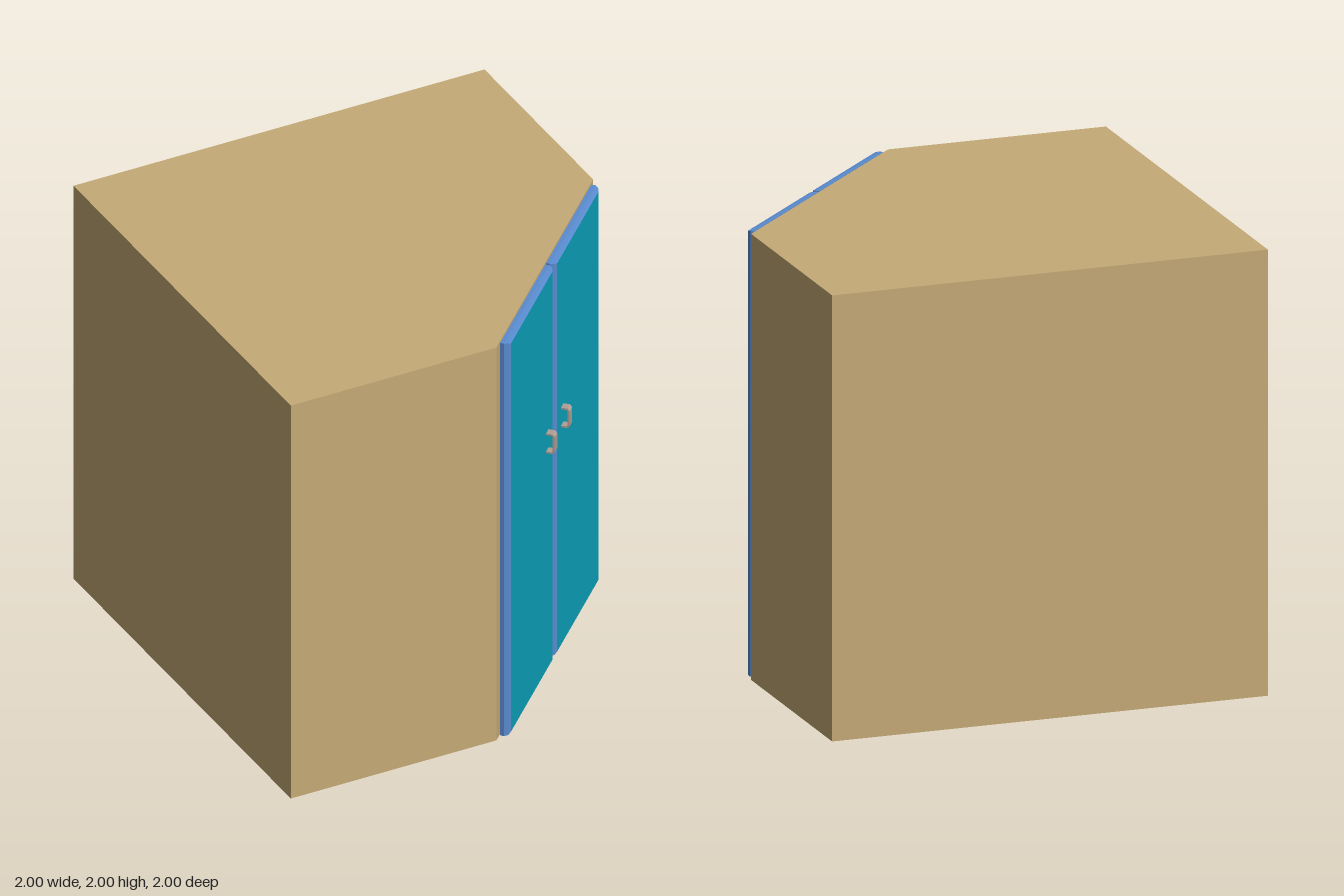
import * as THREE from 'three';

const mat = (name, color) => {
  const m = new THREE.MeshStandardMaterial({ color });
  m.name = name;
  return m;
};

// Rectangular loops [halfWidth, halfHeight, z] joined back to front; only the sides, plus a back cap
function loopedPanel(loops) {
  const pos = [], index = [];
  const quad = (...corners) => {
    const i = pos.length / 3;
    corners.forEach(c => pos.push(...c));
    index.push(i, i + 1, i + 2, i, i + 2, i + 3);
  };
  const ring = ([w, h, z]) => [[-w, -h, z], [w, -h, z], [w, h, z], [-w, h, z]];
  for (let l = 0; l < loops.length - 1; l++) {
    const a = ring(loops[l]), b = ring(loops[l + 1]);
    for (let k = 0; k < 4; k++) {
      const n = (k + 1) % 4;
      quad(a[k], a[n], b[n], b[k]);
    }
  }
  quad(...ring(loops[0]).reverse());
  const g = new THREE.BufferGeometry();
  g.setAttribute('position', new THREE.Float32BufferAttribute(pos, 3));
  g.setIndex(index);
  g.computeVertexNormals();
  return g;
}

export function createModel() {
  const wood = mat('tan wood', 0xc6aa76);
  const blue = mat('blue edge', 0x5a8cd0);
  const teal = mat('teal panel', 0x0ca0ba);
  const metal = mat('handle metal', 0xb0a096);
  const model = new THREE.Group();
  model.name = 'cornerCabinet';
  const add = (parent, geometry, material, name) => {
    const mesh = new THREE.Mesh(geometry, material);
    mesh.name = name;
    parent.add(mesh);
    return mesh;
  };

  // Cabinet body: a square plan with one corner cut off
  const plan = new THREE.Shape(
    [[-1, -1], [0, -1], [1, 0], [1, 1], [-1, 1]].map(([x, y]) => new THREE.Vector2(x, y)));
  const bodyGeo = new THREE.ExtrudeGeometry(plan, { depth: 2, bevelEnabled: false });
  bodyGeo.rotateX(-Math.PI / 2);
  add(model, bodyGeo, wood, 'body');

  // Doors on the diagonal face
  const front = new THREE.Group();
  front.name = 'doors';
  front.position.set(0.5, 1, 0.5);
  front.rotation.y = Math.PI / 4;
  model.add(front);

  const W = 0.328, H = 0.999;
  const edgeGeo = loopedPanel([
    [W, H, 0.004], [W + 0.003, H, 0.022], [W - 0.008, H - 0.003, 0.038], [W - 0.025, H - 0.011, 0.045]]);
  const panelGeo = new THREE.PlaneGeometry(2 * (W - 0.025), 2 * (H - 0.011));

  // Handle side profile: x is distance from the door, y is up
  const profile = new THREE.Shape(
    [[0, -0.05], [0.03, -0.05], [0.04, -0.038], [0.04, 0.038], [0.03, 0.05], [0, 0.05],
      [0, 0.042], [0.026, 0.042], [0.031, 0.034], [0.031, -0.034], [0.026, -0.042], [0, -0.042]]
      .map(([x, y]) => new THREE.Vector2(x, y)));
  const handleGeo = new THREE.ExtrudeGeometry(profile, { depth: 0.037, bevelEnabled: false });
  handleGeo.translate(0, 0, -0.0185);
  handleGeo.rotateY(-Math.PI / 2);

  for (const [side, s] of [['left', 1], ['right', -1]]) {
    const door = new THREE.Group();
    door.name = side + 'Door';
    door.position.x = s * 0.336;
    front.add(door);
    add(door, edgeGeo, blue, side + 'DoorEdge');
    add(door, panelGeo, teal, side + 'DoorPanel').position.z = 0.045;
    add(door, handleGeo, metal, side + 'Handle').position.set(s * (0.109 - 0.336), 0.17, 0.044);
  }
  return model;
}
